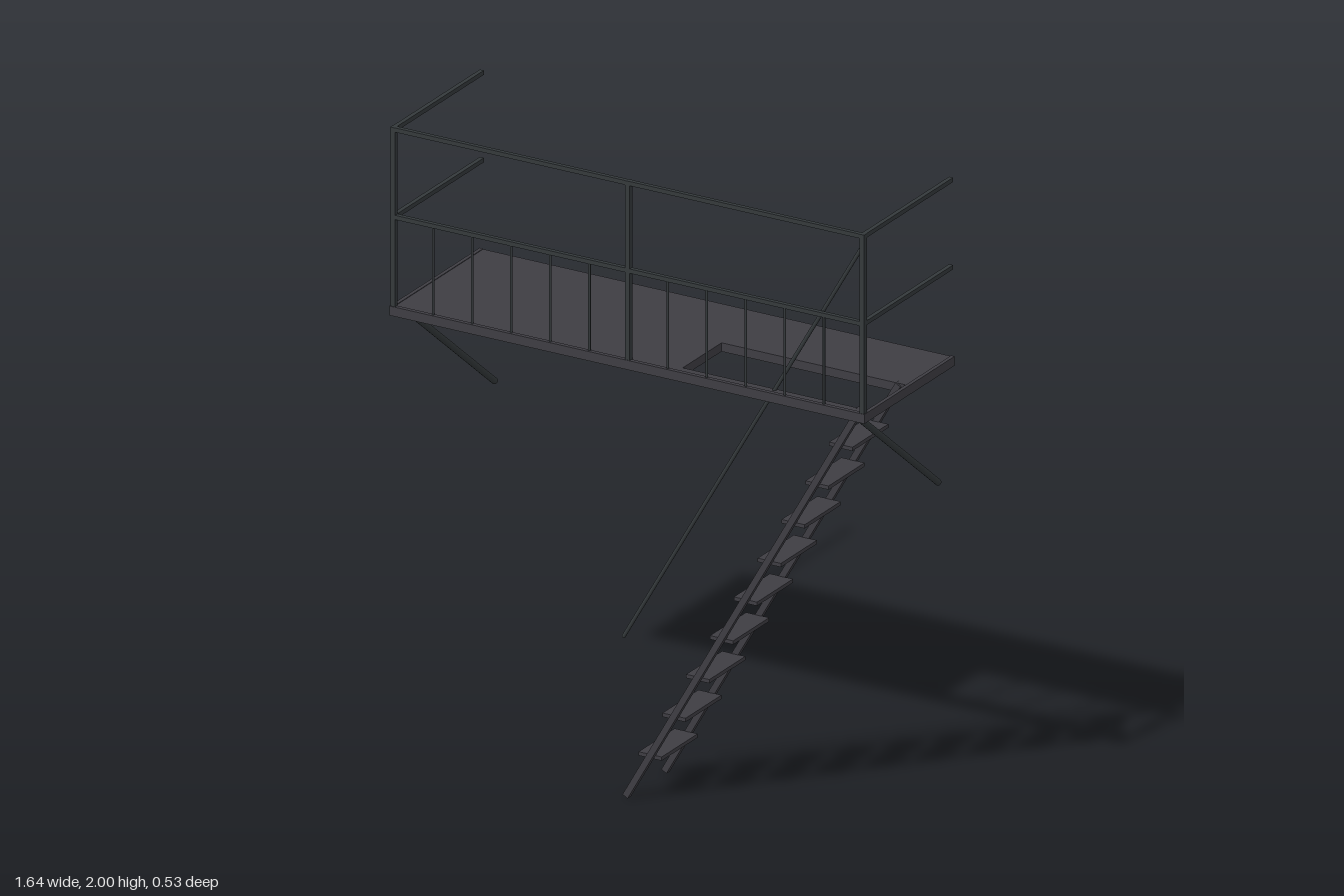
import * as THREE from 'three';

export function createModel() {
  const model = new THREE.Group();
  const steel = new THREE.MeshStandardMaterial({ color: 0x3e3d43 });
  steel.name = 'charcoal steel';
  const railSteel = new THREE.MeshStandardMaterial({ color: 0x34393b });
  railSteel.name = 'dark rail steel';

  const add = (name, geometry, material) => {
    const mesh = new THREE.Mesh(geometry, material);
    mesh.name = name;
    model.add(mesh);
    return mesh;
  };
  // Box given by its lower and upper corners
  const box = (name, a, b, material = steel) =>
    add(name, new THREE.BoxGeometry(b[0] - a[0], b[1] - a[1], b[2] - a[2]), material)
      .position.set((a[0] + b[0]) / 2, (a[1] + b[1]) / 2, (a[2] + b[2]) / 2);
  // Straight square or round bar between two points
  const bar = (name, a, b, width, material, round = false) => {
    const from = new THREE.Vector3(...a), to = new THREE.Vector3(...b);
    const dir = to.clone().sub(from), length = dir.length();
    const geometry = round
      ? new THREE.CylinderGeometry(width / 2, width / 2, length, 10)
      : new THREE.BoxGeometry(width, length, width);
    const mesh = add(name, geometry, material);
    mesh.position.copy(from).add(to).multiplyScalar(0.5);
    mesh.quaternion.setFromUnitVectors(new THREE.Vector3(0, 1, 0), dir.normalize());
  };

  // Deck plate with the ladder opening
  const W = 0.81, D = 0.26, hole = { x0: 0.17, x1: 0.806, z0: 0, z1: 0.225 };
  const plate = new THREE.Shape([[-W, -0.25], [W, -0.25], [W, D], [-W, D]]
    .map(([x, y]) => new THREE.Vector2(x, y)));
  plate.holes.push(new THREE.Path([[hole.x0, -hole.z1], [hole.x0, -hole.z0], [hole.x1, -hole.z0], [hole.x1, -hole.z1]]
    .map(([x, y]) => new THREE.Vector2(x, y))));
  const plateGeometry = new THREE.ExtrudeGeometry(plate, { depth: 0.014, bevelEnabled: false });
  plateGeometry.rotateX(-Math.PI / 2).translate(0, 1.409, 0);
  add('deckPlate', plateGeometry, steel);

  // Edge beams and framing under the opening
  const y0 = 1.395, y1 = 1.425;
  box('frontBeam', [-0.82, y0, 0.25], [0.82, y1, 0.264]);
  box('backBeam', [-W, y0, -D], [W, 1.42, -0.25]);
  for (const s of [-1, 1]) {
    box('endBeam', [s * 0.814 - 0.006, y0, -D], [s * 0.814 + 0.006, y1, 0.25]);
  }
  box('openingEndBeam', [hole.x0 - 0.01, y0, 0], [hole.x0, 1.415, 0.25]);
  box('openingSideBeam', [hole.x0, y0, -0.01], [hole.x1, 1.415, 0]);

  // Railing posts, rails and balusters
  const rz = 0.254;
  for (const x of [-W, 0, W]) bar('railPost', [x, y0, rz], [x, 2, rz], 0.016, railSteel);
  for (const y of [1.712, 1.993]) {
    bar('frontRail', [-W, y, rz], [W, y, rz], 0.014, railSteel);
    for (const s of [-1, 1]) bar('sideRail', [s * W, y, rz], [s * W, y, -0.256], 0.014, railSteel);
  }
  for (let i = 1; i <= 5; i++) {
    for (const s of [-1, 1]) {
      const x = s * 0.135 * i;
      bar('baluster', [x, 1.41, rz], [x, 1.71, rz], 0.008, railSteel, true);
    }
  }

  // Slanted braces below the deck
  for (const s of [-1, 1]) {
    bar('brace', [s * 0.766, 1.4, 0.228], [s * 0.766, 1.01, -0.256], 0.021, railSteel, true);
  }

  // Ladder stringers
  for (const z of [-0.004, 0.221]) {
    bar('ladderStringer', [-0.026, 0.006, z], [0.782, 1.42, z], 0.02, steel);
  }
  // Ladder treads
  for (let i = 0; i < 9; i++) {
    const x = 0.05 + i * 0.0823, y = 0.145 + i * 0.1419;
    box('ladderTread', [x - 0.04, y - 0.006, 0.004], [x + 0.04, y + 0.006, 0.213]);
  }
  // Ladder handrail
  bar('ladderHandrail', [-0.03, 0.52, 0.233], [0.79, 1.94, 0.233], 0.012, railSteel, true);

  return model;
}
